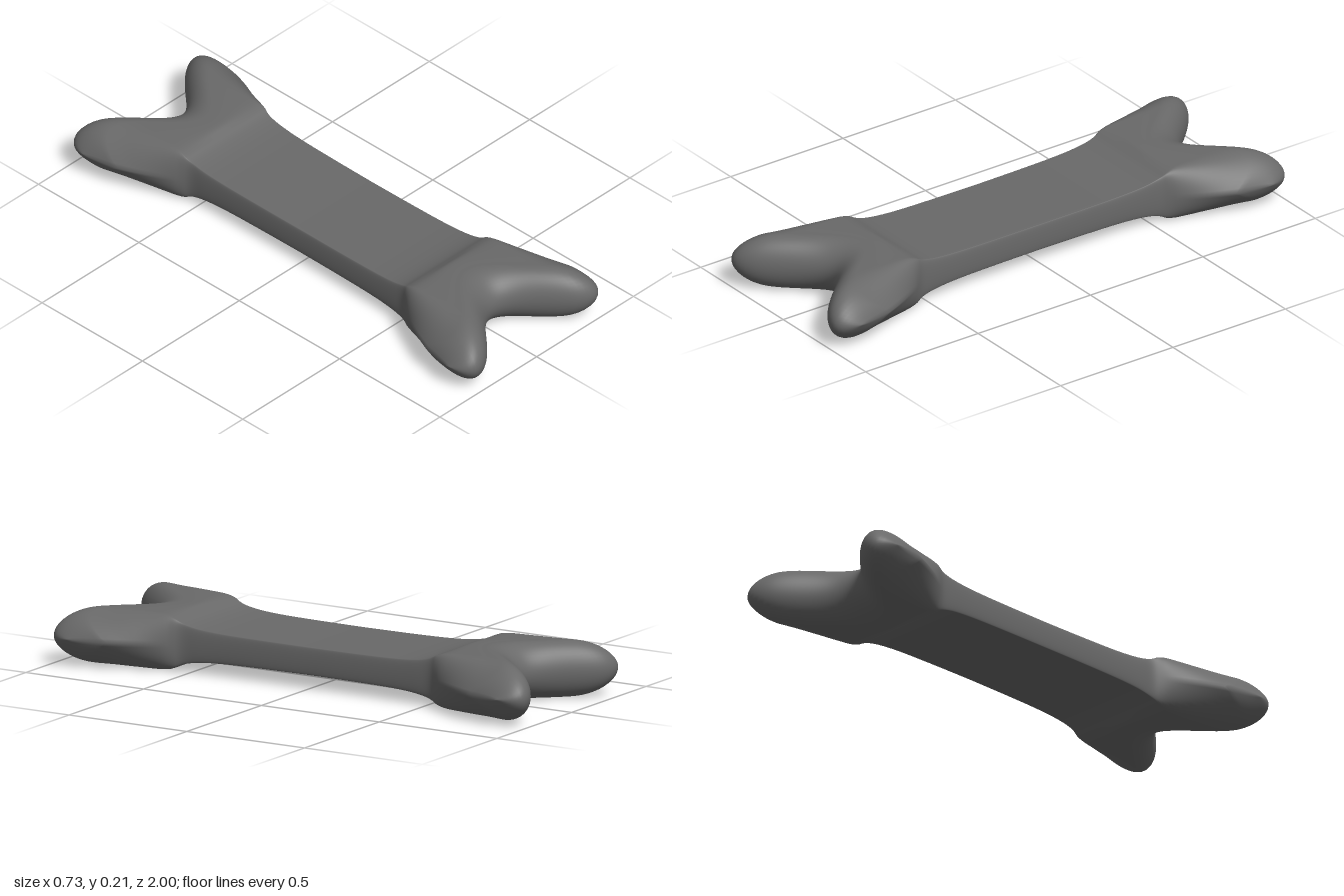
import * as THREE from 'three';
import { mergeVertices } from 'three/addons/utils/BufferGeometryUtils.js';

// Stations from the middle of the shaft to the head:
// z, half width, half height, edge rounding, forward bend of the lobes
const STATIONS = [
  [0, 0.197, 0.051, 0.006, 0],
  [0.2, 0.198, 0.052, 0.006, 0],
  [0.36, 0.2, 0.055, 0.007, 0],
  [0.46, 0.203, 0.062, 0.008, 0],
  [0.52, 0.207, 0.074, 0.01, 0],
  [0.555, 0.222, 0.09, 0.02, 0],
  [0.58, 0.246, 0.102, 0.05, 0.1],
  [0.61, 0.286, 0.1045, 0.09, 0.45],
  [0.635, 0.318, 0.1045, 0.12, 0.8],
  [0.66, 0.338, 0.1045, 0.13, 1],
];
const CENTRE_Y = 0.106;
const CAP_DEPTH = 0.13;

// Two-lobed end outline: how far the end reaches past the notch at a = |x| / width
function lobe(a) {
  if (a < 0.83) return 0.105 * (1 - Math.cos((Math.PI * a) / 0.83));
  return 0.11 + 0.1 * Math.sqrt(Math.max(0, 1 - ((a - 0.83) / 0.17) ** 2));
}

// Smoothed stations for one half, ending in a rounded cap
function halfStations() {
  const columns = [1, 2, 3, 4].map(
    (c) => new THREE.SplineCurve(STATIONS.map((s) => new THREE.Vector2(s[0], s[c])))
  );
  const list = [];
  const steps = (STATIONS.length - 1) * 4;
  for (let i = 0; i <= steps; i++) {
    const p = columns.map((c) => c.getPoint(i / steps));
    list.push({ z: p[0].x, w: p[0].y, h: p[1].y, r: p[2].y, bend: Math.max(0, p[3].y) });
  }
  const last = STATIONS[STATIONS.length - 1];
  for (let i = 1; i <= 12; i++) {
    const angle = (i / 12) * Math.PI / 2;
    const k = Math.sin(angle);
    list.push({
      z: last[0] + CAP_DEPTH * k,
      w: last[1] + 0.025 * k,
      h: i === 12 ? 0 : last[2] * Math.cos(angle),
      r: last[3],
      bend: 1,
    });
  }
  return list;
}

// Closed rounded cross-section, clockwise seen from the front
function ring({ z, w, h, r, bend }, side) {
  const quarter = [];
  for (let i = 0; i < 16; i++) quarter.push([((w - r) * i) / 16, h]);
  for (let i = 0; i <= 12; i++) {
    const t = (i / 12) * Math.PI / 2;
    quarter.push([w - r + r * Math.sin(t), i === 12 ? 0 : h * Math.cos(t)]);
  }
  const back = quarter.slice(0, -1).reverse();
  const right = [...quarter, ...back.map(([x, y]) => [x, -y])];
  const left = right.slice(1, -1).reverse().map(([x, y]) => [-x, y]);
  return [...right, ...left].map(([x, y]) => [
    x,
    CENTRE_Y + y,
    side * (z + bend * lobe(Math.min(1, Math.abs(x) / w))),
  ]);
}

function boneGeometry() {
  const half = halfStations();
  const rings = [
    ...half.slice(1).reverse().map((s) => ring(s, -1)),
    ...half.map((s) => ring(s, 1)),
  ];
  const n = rings[0].length;
  const index = [];
  for (let s = 0; s < rings.length - 1; s++) {
    for (let i = 0; i < n; i++) {
      const j = (i + 1) % n;
      const a = s * n + i, b = s * n + j, d = a + n, e = b + n;
      index.push(a, d, b, b, d, e);
    }
  }
  let geometry = new THREE.BufferGeometry();
  geometry.setAttribute('position', new THREE.Float32BufferAttribute(rings.flat(2), 3));
  geometry.setIndex(index);
  geometry = mergeVertices(geometry, 1e-5);
  geometry.computeVertexNormals();
  return geometry;
}

export function createModel() {
  const grey = new THREE.MeshStandardMaterial({ color: 0x696969 });
  grey.name = 'grey';
  const bone = new THREE.Mesh(boneGeometry(), grey);
  bone.name = 'bone';
  const group = new THREE.Group();
  group.name = 'boneModel';
  group.add(bone);
  return group;
}
